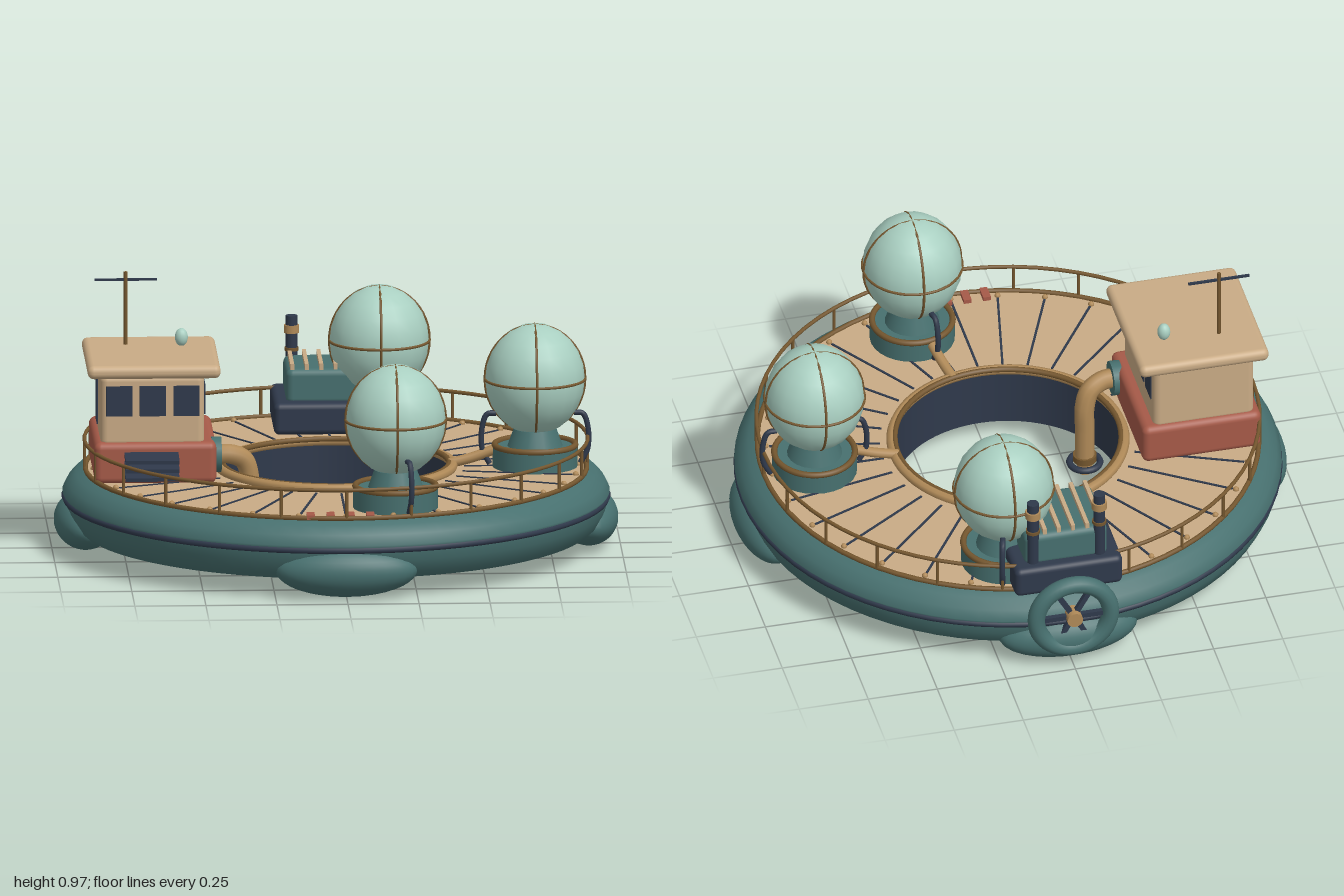
import * as THREE from 'three';
import { RoundedBoxGeometry } from 'three/addons/geometries/RoundedBoxGeometry.js';

const mat = (name, color) => {
  const m = new THREE.MeshStandardMaterial({ color });
  m.name = name;
  return m;
};
const teal = mat('teal', 0x47706f);
const mint = mat('mint', 0xa9cfc1);
const tan = mat('tan', 0xc9ab85);
const navy = mat('navy', 0x2f394b);
const red = mat('brick red', 0xa65a48);
const brown = mat('bronze', 0x75572f);
const brass = mat('brass', 0xb08a58);

const V = (x, y, z) => new THREE.Vector3(x, y, z);

function add(parent, name, geo, material, x = 0, y = 0, z = 0) {
  const m = new THREE.Mesh(geo, material);
  m.name = name;
  m.position.set(x, y, z);
  parent.add(m);
  return m;
}
function group(parent, name, x = 0, y = 0, z = 0) {
  const g = new THREE.Group();
  g.name = name;
  g.position.set(x, y, z);
  parent.add(g);
  return g;
}
const box = (w, h, d) => new THREE.BoxGeometry(w, h, d);
const rbox = (w, h, d, r) => new RoundedBoxGeometry(w, h, d, 3, r);
const cyl = (r, h, r2 = r, n = 20) => new THREE.CylinderGeometry(r2, r, h, n);
const tube = (pts, r, n = 24) =>
  new THREE.TubeGeometry(new THREE.CatmullRomCurve3(pts), n, r, 10);
const lathe = (pts) =>
  new THREE.LatheGeometry(pts.map(([r, y]) => new THREE.Vector2(r, y)), 72);
function flatRing(parent, name, R, r, material, y) {
  const m = add(parent, name, new THREE.TorusGeometry(R, r, 8, 72), material, 0, y, 0);
  m.rotation.x = Math.PI / 2;
  return m;
}

// Ring-shaped hull, deck, planks, railing and floats
function buildHull(root) {
  const hull = group(root, 'hull');
  add(hull, 'upperHull', lathe([[0.955, 0.185], [0.963, 0.2], [0.945, 0.235], [0.915, 0.265], [0.875, 0.28]]), teal);
  add(hull, 'lowerHull', lathe([[0.9, 0.07], [0.93, 0.095], [0.952, 0.14], [0.957, 0.175]]), teal);
  add(hull, 'hullBottom', lathe([[0.4, 0.07], [0.9, 0.07]]), teal);
  add(hull, 'innerWall', lathe([[0.4, 0.28], [0.4, 0.07]]), navy);
  add(hull, 'deck', lathe([[0.88, 0.28], [0.4, 0.28]]), tan);
  flatRing(hull, 'rubbingBand', 0.953, 0.012, navy, 0.182);
  flatRing(hull, 'deckTrim', 0.882, 0.009, brown, 0.283);
  flatRing(hull, 'innerCoaming', 0.41, 0.018, brass, 0.288);
  flatRing(hull, 'innerCoamingEdge', 0.398, 0.01, brown, 0.297);

  for (let i = 0; i < 32; i++) {
    const spoke = group(hull, 'plankSeam');
    spoke.rotation.y = (i / 32) * Math.PI * 2;
    add(spoke, 'seam', box(0.39, 0.005, 0.008), navy, 0.645, 0.281, 0);
    add(spoke, 'deckBolt', new THREE.SphereGeometry(0.011, 8, 6), brass, 0.853, 0.283, 0);
  }

  const rail = group(root, 'railing');
  flatRing(rail, 'handRail', 0.885, 0.007, brown, 0.385);
  for (let i = 0; i < 24; i++) {
    const a = (i / 24) * Math.PI * 2;
    add(rail, 'railPost', cyl(0.006, 0.105, 0.006, 8), brown, 0.885 * Math.cos(a), 0.333, 0.885 * Math.sin(a));
  }

  for (let i = 0; i < 4; i++) {
    const a = (i * Math.PI) / 2;
    const f = add(root, 'float', new THREE.SphereGeometry(1, 32, 20), teal, 0.885 * Math.cos(a), 0.1, 0.885 * Math.sin(a));
    f.scale.set(0.108, 0.095, 0.25);
    f.rotation.y = -a;
  }
}

// Gas balloon on a dish, local +x points outward from the hull centre
function buildBalloon(root, angle) {
  const g = group(root, 'balloon', 0.7 * Math.cos(angle), 0, 0.7 * Math.sin(angle));
  g.rotation.y = -angle;
  add(g, 'dish', cyl(0.15, 0.075, 0.15, 28), teal, 0, 0.315, 0);
  const rim = flatRing(g, 'dishRim', 0.142, 0.011, brown, 0.356);
  rim.scale.z = 1;
  add(g, 'neck', cyl(0.1, 0.07, 0.075), teal, 0, 0.38, 0);
  const bag = add(g, 'gasBag', new THREE.SphereGeometry(0.176, 20, 12), mint, 0, 0.593, 0);
  bag.scale.y = 1.12;
  flatRing(g, 'equatorBand', 0.176, 0.005, brown, 0.593);
  for (const r of [0, Math.PI / 2]) {
    const band = add(g, 'meridianBand', new THREE.TorusGeometry(0.176, 0.005, 6, 48), brown, 0, 0.593, 0);
    band.rotation.y = r + angle;
    band.scale.y = 1.09;
  }
  for (const s of [-1, 1]) {
    add(g, 'holdingArm', tube([V(s * 0.16, 0.29, 0), V(s * 0.185, 0.34, 0), V(s * 0.186, 0.42, 0),
      V(s * 0.168, 0.467, 0), V(s * 0.138, 0.47, 0)], 0.01), navy);
  }
  add(g, 'feedPipe', tube([V(-0.3, 0.292, 0), V(-0.22, 0.312, 0), V(-0.13, 0.345, 0)], 0.018), brass);
}

// Wheelhouse with windows, door, mast and lamp
function buildCabin(root) {
  const g = group(root, 'cabin', -0.65, 0, 0);
  add(g, 'cabinBase', rbox(0.43, 0.15, 0.49, 0.025), red, 0.005, 0.35, 0);
  add(g, 'cabinWalls', rbox(0.365, 0.26, 0.45, 0.025), tan, -0.005, 0.535, 0);
  add(g, 'cabinRoof', rbox(0.468, 0.048, 0.525, 0.022), tan, 0, 0.68, 0.002);
  for (let i = 0; i < 3; i++) {
    add(g, 'frontWindow', box(0.092, 0.108, 0.008), navy, -0.122 + i * 0.118, 0.572, 0.226);
  }
  for (let i = 0; i < 4; i++) {
    add(g, 'sideWindow', box(0.008, 0.108, 0.08), navy, 0.178, 0.572, -0.155 + i * 0.104);
  }
  add(g, 'door', box(0.008, 0.17, 0.11), navy, -0.188, 0.53, -0.05);
  for (let i = 0; i < 3; i++) {
    const l = add(g, 'louvre', box(0.19, 0.013, 0.11), navy, -0.01, 0.32 + i * 0.031, 0.3);
    l.rotation.x = 0.08;
  }
  add(g, 'mast', cyl(0.007, 0.265, 0.007, 8), brown, -0.085, 0.833, -0.115);
  add(g, 'mastCrossbar', box(0.22, 0.008, 0.008), navy, -0.085, 0.937, -0.115);
  const lamp = add(g, 'lamp', new THREE.SphereGeometry(0.023, 16, 12), mint, 0.11, 0.732, -0.098);
  lamp.scale.y = 1.4;
}

// Intake pipe dropping through the middle of the ring
function buildIntake(root) {
  const g = group(root, 'intakePipe');
  const collar = add(g, 'wallCollar', cyl(0.062, 0.035, 0.062, 24), teal, -0.428, 0.365, 0.16);
  collar.rotation.z = Math.PI / 2;
  add(g, 'pipe', tube([V(-0.43, 0.365, 0.16), V(-0.38, 0.365, 0.155), V(-0.33, 0.34, 0.14),
    V(-0.31, 0.28, 0.132), V(-0.31, 0.18, 0.132), V(-0.31, 0.06, 0.132)], 0.035, 36), brass);
  add(g, 'pipeEnd', cyl(0.028, 0.06), brass, -0.31, 0.03, 0.132);
  add(g, 'pipeCollar', cyl(0.042, 0.025), brown, -0.31, 0.06, 0.132);
  const ring = add(g, 'pipeRing', new THREE.TorusGeometry(0.054, 0.012, 8, 28), navy, -0.31, 0.038, 0.132);
  ring.rotation.x = Math.PI / 2;
}

// Engine block with cooling fins and twin stacks
function buildEngine(root) {
  const g = group(root, 'engine', 0, 0, -0.73);
  add(g, 'engineBase', rbox(0.39, 0.115, 0.365, 0.022), navy, 0, 0.335, 0);
  add(g, 'engineBlock', rbox(0.3, 0.13, 0.27, 0.025), teal, 0, 0.44, -0.005);
  for (let i = 0; i < 6; i++) {
    add(g, 'coolingFin', box(0.014, 0.022, 0.25), tan, -0.128 + i * 0.051, 0.512, -0.005);
  }
  for (const s of [-1, 1]) {
    const stack = group(g, 'stack', s * 0.12, 0, -0.13);
    add(stack, 'stackPipe', cyl(0.021, 0.26), navy, 0, 0.515, 0);
    add(stack, 'stackCollar', cyl(0.027, 0.028), brass, 0, 0.597, 0);
    add(stack, 'stackBand', cyl(0.025, 0.012), brown, 0, 0.525, 0);
  }
}

// Wheel on the stern
function buildSternWheel(root) {
  const g = group(root, 'sternWheel', 0, 0.21, -0.968);
  add(g, 'wheelRim', new THREE.TorusGeometry(0.134, 0.031, 14, 48), teal);
  for (let i = 0; i < 3; i++) {
    const s = add(g, 'wheelSpoke', box(0.25, 0.018, 0.018), navy);
    s.rotation.z = (i * Math.PI) / 3;
  }
  const hub = add(g, 'wheelHub', cyl(0.028, 0.06), brass);
  hub.rotation.x = Math.PI / 2;
  const axle = add(g, 'wheelAxle', cyl(0.016, 0.08), navy, 0, 0, 0.03);
  axle.rotation.x = Math.PI / 2;
}

export function createModel() {
  const root = new THREE.Group();
  root.name = 'ringBarge';
  buildHull(root);
  for (const deg of [-75, 0, 75]) buildBalloon(root, THREE.MathUtils.degToRad(deg));
  buildCabin(root);
  buildIntake(root);
  buildEngine(root);
  buildSternWheel(root);
  // Boarding cleats at the bow
  for (let i = 0; i < 4; i++) {
    add(root, 'cleat', box(0.028, 0.016, 0.06), red, -0.125 + i * 0.07, 0.287, 0.85);
  }
  return root;
}
